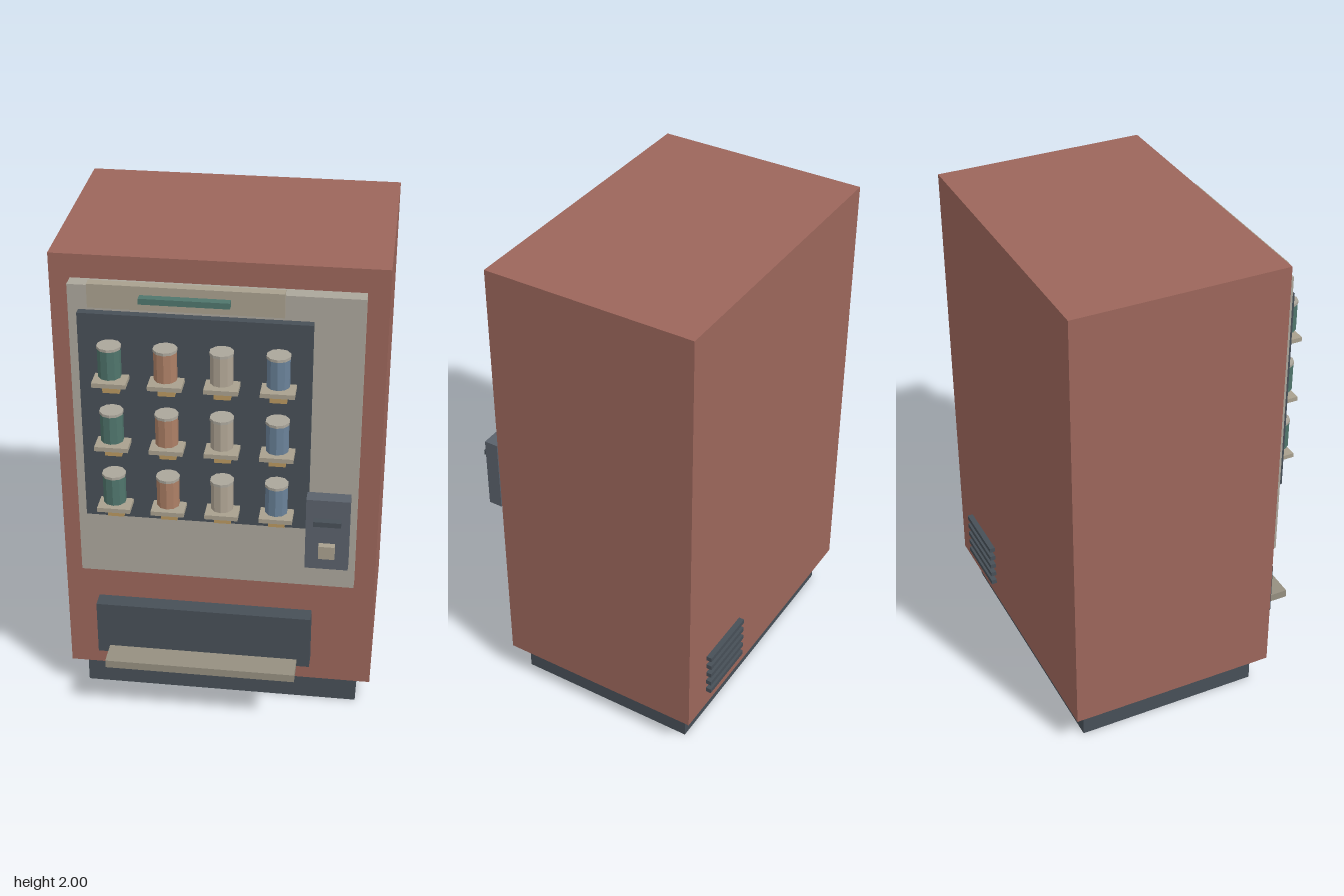
import * as THREE from 'three';

const mat = (color) => new THREE.MeshStandardMaterial({ color, flatShading: true });
const red = mat(0x9c665b), cream = mat(0xaba69b), dark = mat(0x474f57), slate = mat(0x5a616b);
const tan = mat(0xa8a08e), teal = mat(0x4f756c), gold = mat(0xb8975f), ledgeTan = mat(0x958f80);
const canColors = [teal, mat(0xad8066), mat(0xb0a594), mat(0x6a8299)];

// Box given by its limits on each axis
function box(parent, name, material, [x0, x1], [y0, y1], [z0, z1]) {
  const mesh = new THREE.Mesh(new THREE.BoxGeometry(x1 - x0, y1 - y0, z1 - z0), material);
  mesh.position.set((x0 + x1) / 2, (y0 + y1) / 2, (z0 + z1) / 2);
  mesh.name = name;
  parent.add(mesh);
}

function cylinder(parent, name, material, radius, [y0, y1], z) {
  const mesh = new THREE.Mesh(new THREE.CylinderGeometry(radius, radius, y1 - y0, 10), material);
  mesh.position.set(0, (y0 + y1) / 2, z);
  mesh.name = name;
  parent.add(mesh);
}

// One can with its shelf and price tag; y = 0 is the underside of the can
function createProduct(material) {
  const product = new THREE.Group();
  product.name = 'product';
  cylinder(product, 'can', material, 0.044, [0, 0.115], 0.485);
  cylinder(product, 'canLid', cream, 0.046, [0.115, 0.126], 0.485);
  box(product, 'shelf', tan, [-0.064, 0.064], [-0.034, -0.016], [0.441, 0.526]);
  box(product, 'priceTag', gold, [-0.032, 0.032], [-0.077, -0.051], [0.456, 0.482]);
  return product;
}

export function createModel() {
  const model = new THREE.Group();
  model.name = 'vendingMachine';

  // Cabinet and plinth
  box(model, 'cabinet', red, [-0.628, 0.628], [0.138, 2], [-0.522, 0.349]);
  box(model, 'plinth', dark, [-0.57, 0.57], [0, 0.124], [-0.471, 0.302]);

  // Front panel, display and header
  box(model, 'frontPanel', cream, [-0.549, 0.546], [0.65, 1.906], [0.349, 0.408]);
  box(model, 'displayBack', dark, [-0.51, 0.36], [0.937, 1.808], [0.408, 0.441]);
  box(model, 'header', tan, [-0.471, 0.254], [1.827, 1.921], [0.393, 0.431]);
  box(model, 'headerStrip', teal, [-0.276, 0.059], [1.865, 1.888], [0.431, 0.463]);

  // Three rows of four products
  for (let row = 0; row < 3; row++) {
    canColors.forEach((material, column) => {
      const product = createProduct(material);
      product.position.set(-0.385 + column * 0.2085, 1.581 - row * 0.2715, 0);
      model.add(product);
    });
  }

  // Payment unit
  box(model, 'paymentUnit', slate, [0.355, 0.523], [0.793, 1.104], [0.438, 0.496]);
  box(model, 'coinSlot', dark, [0.386, 0.492], [1.006, 1.027], [0.5, 0.529]);
  box(model, 'button', tan, [0.408, 0.471], [0.86, 0.916], [0.502, 0.529]);

  // Collection hatch
  box(model, 'hatch', dark, [-0.492, 0.381], [0.262, 0.499], [0.371, 0.438]);
  box(model, 'hatchLedge', ledgeTan, [-0.443, 0.329], [0.261, 0.295], [0.438, 0.543]);

  // Vent slats on the back
  for (let i = 0; i < 5; i++) {
    const y = 0.226 + i * 0.044;
    box(model, 'ventSlat', dark, [0.229, 0.493], [y - 0.01, y + 0.01], [-0.545, -0.522]);
  }

  return model;
}
